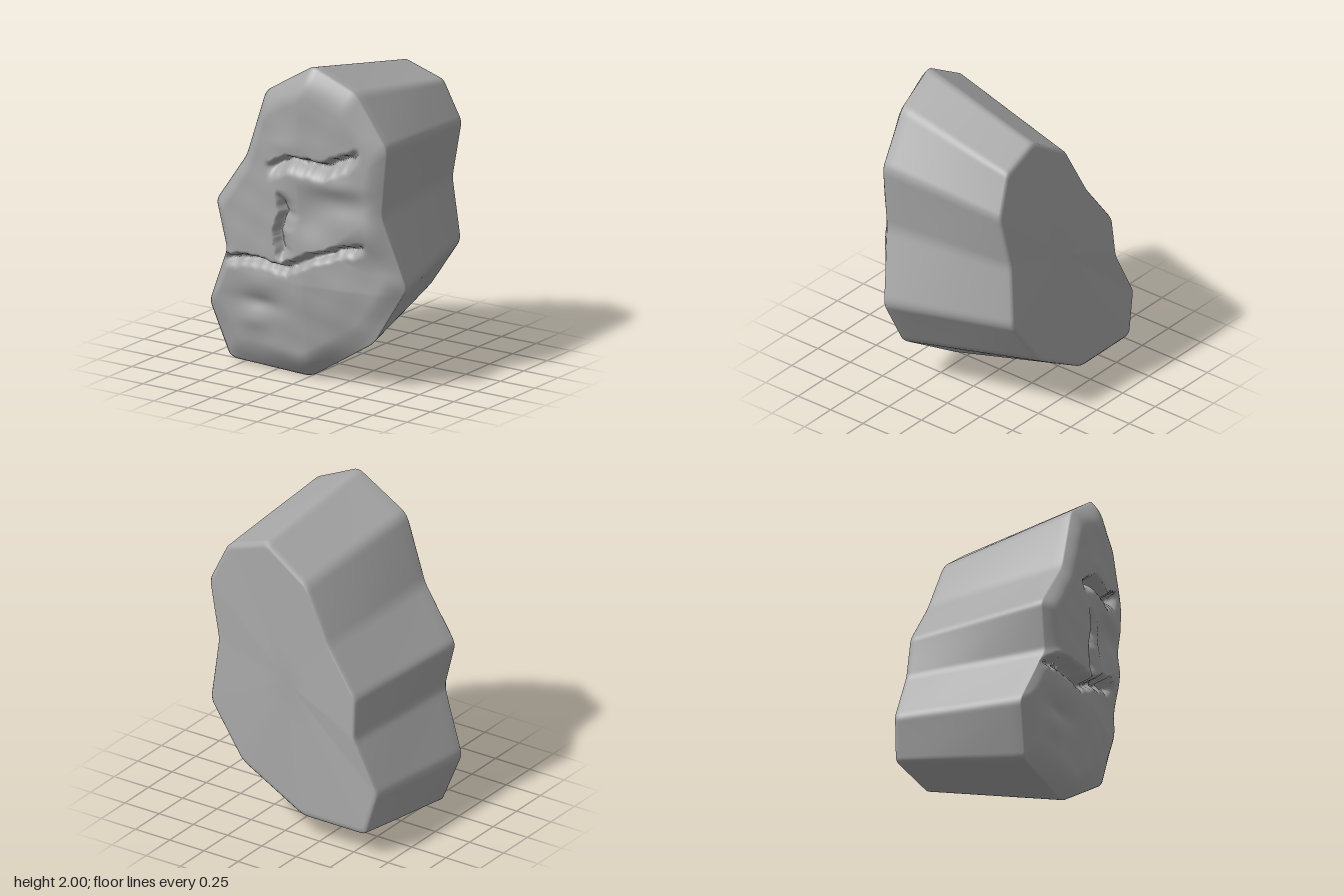
import * as THREE from 'three';

// Outline corners, counter-clockwise: front x, y, z then back x, y, z
const CORNERS = [
  [0.12, 2.01, 0.45, 0.2, 1.85, -0.42], [-0.22, 1.8, 0.46, -0.1, 1.65, -0.43],
  [-0.36, 1.37, 0.46, -0.28, 1.3, -0.455], [-0.6, 1.04, 0.43, -0.49, 1.01, -0.475],
  [-0.53, 0.74, 0.42, -0.5, 0.75, -0.5], [-0.71, 0.36, 0.34, -0.67, 0.42, -0.5],
  [-0.58, 0.02, 0.31, -0.6, 0.15, -0.525], [0, -0.005, 0.3, -0.14, 0.15, -0.525],
  [0.49, 0.3, 0.35, 0.29, 0.4, -0.54], [0.71, 0.67, 0.32, 0.53, 0.74, -0.525],
  [0.58, 1.13, 0.4, 0.5, 1.14, -0.485], [0.62, 1.56, 0.4, 0.58, 1.51, -0.465],
  [0.41, 1.88, 0.42, 0.47, 1.76, -0.435],
];
const PER_EDGE = 24;
const { lerp, smoothstep, clamp } = THREE.MathUtils;

// Resample the outline and round its corners a little
function makeOutline() {
  const raw = [];
  CORNERS.forEach((p, k) => {
    const q = CORNERS[(k + 1) % CORNERS.length];
    for (let i = 0; i < PER_EDGE; i++) raw.push(p.map((v, c) => lerp(v, q[c], i / PER_EDGE)));
  });
  const n = raw.length;
  return raw.map((p, i) => p.map((_, c) => {
    let sum = 0;
    for (let d = -2; d <= 2; d++) sum += raw[(i + d + n) % n][c];
    return sum / 5;
  }));
}

// Height of a polyline at u
function lineAt(pts, u) {
  let k = 0;
  while (k < pts.length - 2 && u > pts[k + 1][0]) k++;
  const [a, b] = [pts[k], pts[k + 1]];
  return lerp(a[1], b[1], clamp((u - a[0]) / (b[0] - a[0]), 0, 1));
}

// Cleft with a steep side (v above the line) and a soft side below
function cleft(pts, u, v, depth, sharp, soft) {
  const d = v - lineAt(pts, u) + 0.004 * Math.sin(u * 37) + 0.003 * Math.sin(u * 83 + 1);
  const first = pts[0][0], last = pts[pts.length - 1][0];
  const ends = smoothstep(u, first - 0.03, first + 0.09) * (1 - smoothstep(u, last - 0.1, last + 0.02));
  const shape = d > 0 ? 1 - smoothstep(d, 0, sharp) : Math.pow(1 - Math.min(1, -d / soft), 2);
  return depth * ends * shape;
}

const BROW = [[-0.17, 1.34], [-0.1, 1.37], [0, 1.41], [0.1, 1.4], [0.2, 1.39], [0.3, 1.43], [0.46, 1.51]];
const MOUTH = [[-0.56, 0.69], [-0.3, 0.73], [-0.07, 0.71], [0.1, 0.8], [0.3, 0.87], [0.48, 0.91]];
const NOSE = [[0.77, 0.06], [0.92, 0.1], [1.08, 0.06], [1.2, 0.08]]; // y, -x

// Soft bumps and dents: x, y, radius x, radius y, height
const BUMPS = [
  [0.3, 1.29, 0.17, 0.06, 0.015], [0.38, 1.18, 0.17, 0.08, -0.025],
  [0.14, 1.1, 0.16, 0.15, -0.035], [-0.12, 1.05, 0.08, 0.25, 0.01],
  [-0.3, 0.44, 0.14, 0.05, -0.025], [-0.3, 0.57, 0.16, 0.06, 0.01],
  [-0.34, 0.32, 0.12, 0.06, 0.015], [0.2, 0.5, 0.24, 0.16, 0.01],
  [-0.04, 1.5, 0.12, 0.06, 0.01],
];

// Depth of the carved face
function faceZ(x, y) {
  let z = 0.54 - 0.16 * Math.max(0, x - 0.05) - 0.07 * Math.max(0, -x);
  const lip = 0.02 + 0.14 * smoothstep(x, 0.2, 0.5);
  z -= 0.065 * (1 - smoothstep(y - lineAt(MOUTH, x), -lip, lip));
  z -= 0.14 * Math.max(0, 0.62 - y);
  for (const [bx, by, rx, ry, h] of BUMPS) z += h * Math.exp(-(((x - bx) / rx) ** 2) - ((y - by) / ry) ** 2);
  z -= cleft(BROW, x, y, 0.1, 0.045, 0.1);
  z -= cleft(MOUTH, x, y, 0.085, 0.045, 0.07);
  z -= cleft(NOSE, y, -x, 0.075, 0.03, 0.13);
  return z + 0.002 * Math.sin(x * 17 + y * 9) * Math.sin(y * 21 - x * 6);
}

function stoneGeometry() {
  const outline = makeOutline(), n = outline.length;
  const rows = [];
  // Flat back, from its middle to its edge
  for (const s of [0, 0.3, 0.6, 0.9, 0.96, 0.985]) {
    rows.push(outline.map((p) => [p[3] * s, lerp(1, p[4], s), lerp(-0.487, p[5], s)]));
  }
  // Tapering side wall
  for (const t of [0.015, 0.04, 0.2, 0.4, 0.6, 0.8, 0.92, 1]) {
    rows.push(outline.map((p, i) => {
      const swell = 1 + 0.004 * Math.sin(t * Math.PI) * Math.sin(i * 0.13 + t * 5);
      return [lerp(p[3], p[0], t) * swell, lerp(p[4], p[1], t), lerp(p[5], p[2], t)];
    }));
  }
  // Rounded front rim and carved face
  const RINGS = 80;
  for (let r = 1; r <= RINGS; r++) {
    const s = 1 - r / RINGS;
    const e = 1 - (1 - Math.min(1, (1 - s) / 0.18)) ** 2;
    rows.push(outline.map((p) => {
      const x = p[0] * s, y = lerp(0.95, p[1], s);
      return [x, y, lerp(p[2], faceZ(x, y), e)];
    }));
  }
  const index = [];
  for (let j = 0; j < rows.length - 1; j++) {
    for (let i = 0; i < n; i++) {
      const a = j * n + i, b = j * n + ((i + 1) % n);
      index.push(a, b, a + n, b, b + n, a + n);
    }
  }
  const geometry = new THREE.BufferGeometry();
  geometry.setAttribute('position', new THREE.Float32BufferAttribute(rows.flat(2), 3));
  geometry.setIndex(index);
  geometry.computeVertexNormals();
  // Clean normals at the two poles
  const normal = geometry.attributes.normal, top = (rows.length - 1) * n;
  for (let i = 0; i < n; i++) {
    normal.setXYZ(i, 0, 0, -1);
    normal.setXYZ(top + i, 0, 0, 1);
  }
  return geometry;
}

export function createModel() {
  const group = new THREE.Group();
  group.name = 'carvedStone';
  const stone = new THREE.MeshStandardMaterial({ color: 0xa6a6a6 });
  stone.name = 'stone grey';
  const mesh = new THREE.Mesh(stoneGeometry(), stone);
  mesh.name = 'stoneFace';
  group.add(mesh);
  return group;
}
